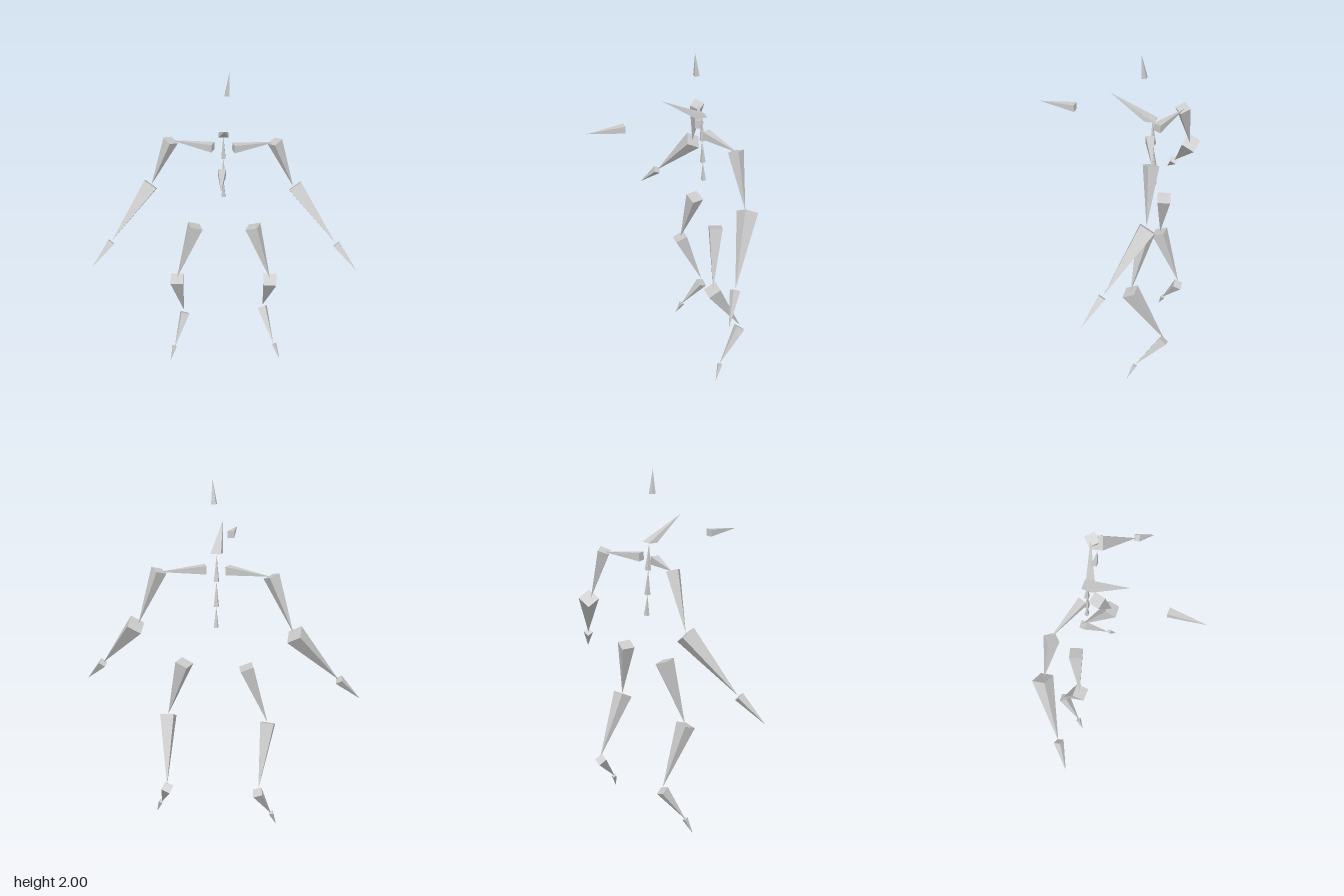
import * as THREE from 'three';

const boneGrey = new THREE.MeshStandardMaterial({ color: 0xcacaca, flatShading: true });
boneGrey.name = 'boneGrey';

// A four-sided tapered bone: square base of half-width `half`, point at `tip`.
// `side` sets the roll; `normal` optionally slants the base plane.
function bone(name, base, tip, half, side = [1, 0, 0], normal = null) {
  const b = new THREE.Vector3(...base);
  const axis = new THREE.Vector3(...tip).sub(b);
  const n = normal ? new THREE.Vector3(...normal) : axis.clone();
  n.normalize();
  const u = new THREE.Vector3(...side);
  u.addScaledVector(n, -u.dot(n)).normalize();
  const v = u.clone().cross(n);
  const geo = new THREE.ConeGeometry(Math.SQRT2, 1, 4);
  geo.rotateY(Math.PI / 4).translate(0, 0.5, 0);
  const m = new THREE.Matrix4().makeBasis(u.multiplyScalar(half), axis, v.multiplyScalar(half));
  geo.applyMatrix4(m.setPosition(b));
  const flat = geo.toNonIndexed();
  flat.computeVertexNormals();
  const mesh = new THREE.Mesh(flat, boneGrey);
  mesh.name = name;
  return mesh;
}

export function createModel() {
  const model = new THREE.Group();
  model.name = 'boneFigure';
  const add = (...args) => model.add(bone(...args));

  // Spine
  add('lowerSpine', [-0.004, 1.22, -0.237], [-0.004, 1.336, -0.229], 0.011);
  add('middleSpine', [-0.004, 1.336, -0.23], [-0.004, 1.472, -0.222], 0.012);
  add('upperSpine', [-0.004, 1.472, -0.224], [-0.004, 1.614, -0.214], 0.012);

  // Head, crown and the free bone ahead of the face
  add('head', [-0.003, 1.621, -0.209], [0.005, 1.745, 0.014], 0.028, [1, 0, 0], [0, 1, 0.1]);
  add('crown', [0.017, 1.871, -0.172], [0.028, 2, -0.158], 0.013);
  add('frontBone', [-0.003, 1.614, 0.217], [-0.004, 1.613, 0.425], 0.02);

  // Left arm
  add('leftCollar', [0.053, 1.536, -0.222], [0.29, 1.533, -0.308], 0.023, [0, 1, 0]);
  add('leftUpperArm', [0.286, 1.54, -0.3], [0.403, 1.242, -0.321], 0.031, [1, 0, 1]);
  add('leftForearm', [0.414, 1.24, -0.328], [0.659, 0.941, -0.175], 0.041, [0.82, 0.52, -0.25]);
  add('leftHand', [0.663, 0.938, -0.172], [0.785, 0.801, -0.096], 0.02, [1, 0.2, 0]);

  // Right arm
  add('rightCollar', [-0.063, 1.538, -0.224], [-0.304, 1.54, -0.308], 0.023, [0, 1, 0]);
  add('rightUpperArm', [-0.304, 1.542, -0.3], [-0.428, 1.246, -0.321], 0.031, [1, 0, 1]);
  add('rightForearm', [-0.434, 1.242, -0.328], [-0.665, 0.941, -0.175], 0.041, [0.82, -0.52, 0.25]);
  add('rightHand', [-0.668, 0.938, -0.172], [-0.785, 0.801, -0.096], 0.02, [1, -0.2, 0]);

  // Left leg
  add('leftThigh', [0.171, 1.006, -0.25], [0.282, 0.66, -0.204], 0.037, [1, 0, 0.3]);
  add('leftCalf', [0.282, 0.655, -0.2], [0.248, 0.314, -0.402], 0.039);
  add('leftFoot', [0.247, 0.299, -0.4], [0.321, 0.11, -0.25], 0.026, [1, 0.3, 0.1]);
  add('leftToe', [0.326, 0.11, -0.25], [0.363, 0.014, -0.212], 0.012, [1, 0.3, 0.1]);

  // Right leg
  add('rightThigh', [-0.172, 1.006, -0.25], [-0.288, 0.66, -0.204], 0.037, [1, 0, -0.3]);
  add('rightCalf', [-0.289, 0.655, -0.2], [-0.262, 0.31, -0.343], 0.038);
  add('rightFoot', [-0.257, 0.288, -0.342], [-0.322, 0.088, -0.227], 0.026, [1, -0.3, -0.1]);
  add('rightToe', [-0.322, 0.095, -0.232], [-0.35, 0, -0.197], 0.012, [1, -0.3, -0.1]);

  return model;
}
